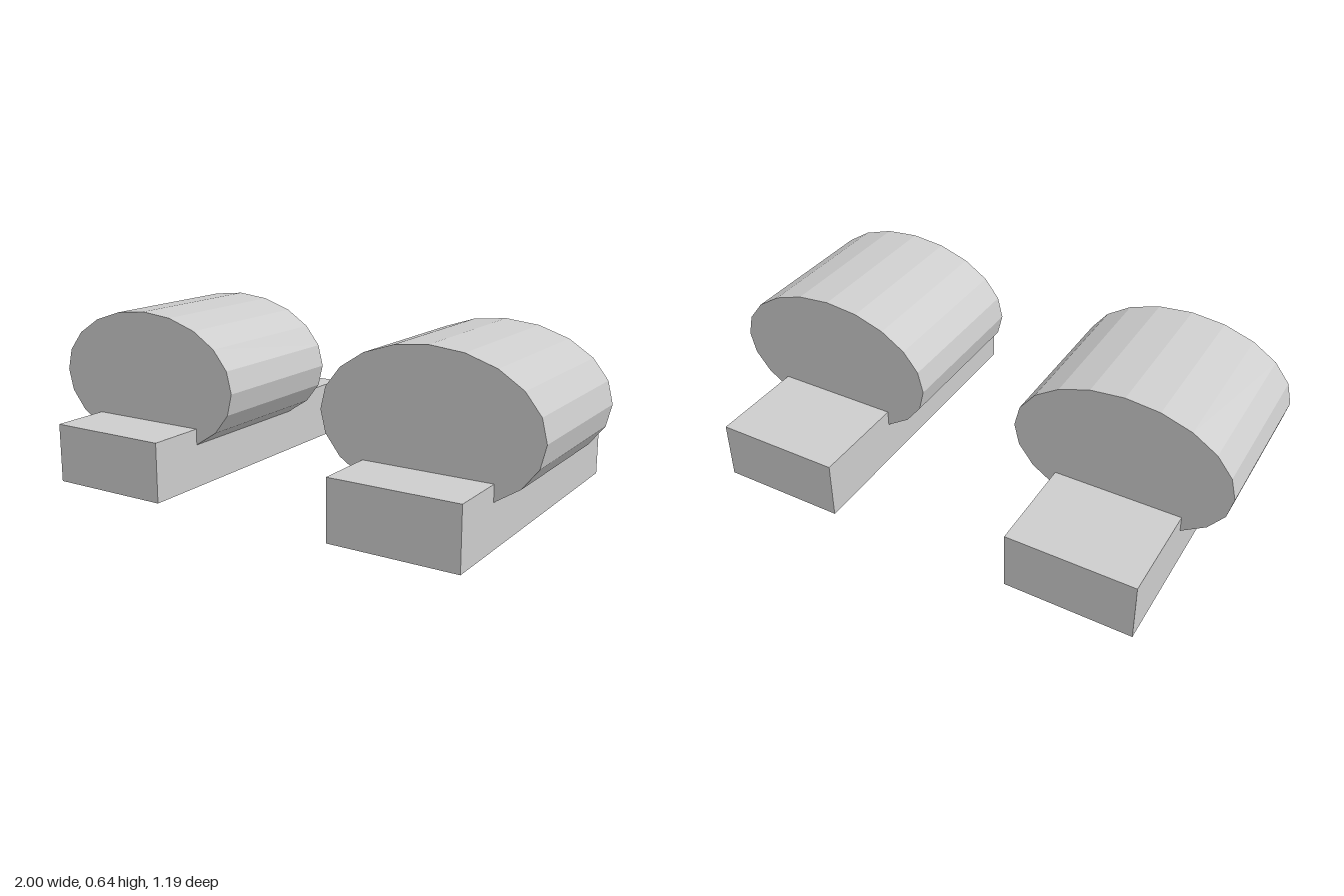
import * as THREE from 'three';

export function createModel() {
  const model = new THREE.Group();
  const grey = new THREE.MeshStandardMaterial({ color: 0xcccccc, flatShading: true });
  grey.name = 'light grey';

  // Long flat block resting on the ground
  const baseGeometry = new THREE.BoxGeometry(0.477, 0.223, 1.188).translate(0, 0.1115, 0);

  // Faceted elliptical drum lying along z, set slightly towards the front
  const drumGeometry = new THREE.CylinderGeometry(1, 1, 0.594, 20)
    .rotateX(Math.PI / 2)
    .scale(0.405, 0.263, 1)
    .translate(0, 0.375, 0.075);

  // Matching left and right units
  for (const [side, x] of [['left', 0.595], ['right', -0.595]]) {
    const unit = new THREE.Group();
    unit.name = side + 'Unit';
    const base = new THREE.Mesh(baseGeometry, grey);
    base.name = side + 'Base';
    const drum = new THREE.Mesh(drumGeometry, grey);
    drum.name = side + 'Drum';
    unit.add(base, drum);
    unit.position.x = x;
    model.add(unit);
  }
  return model;
}
